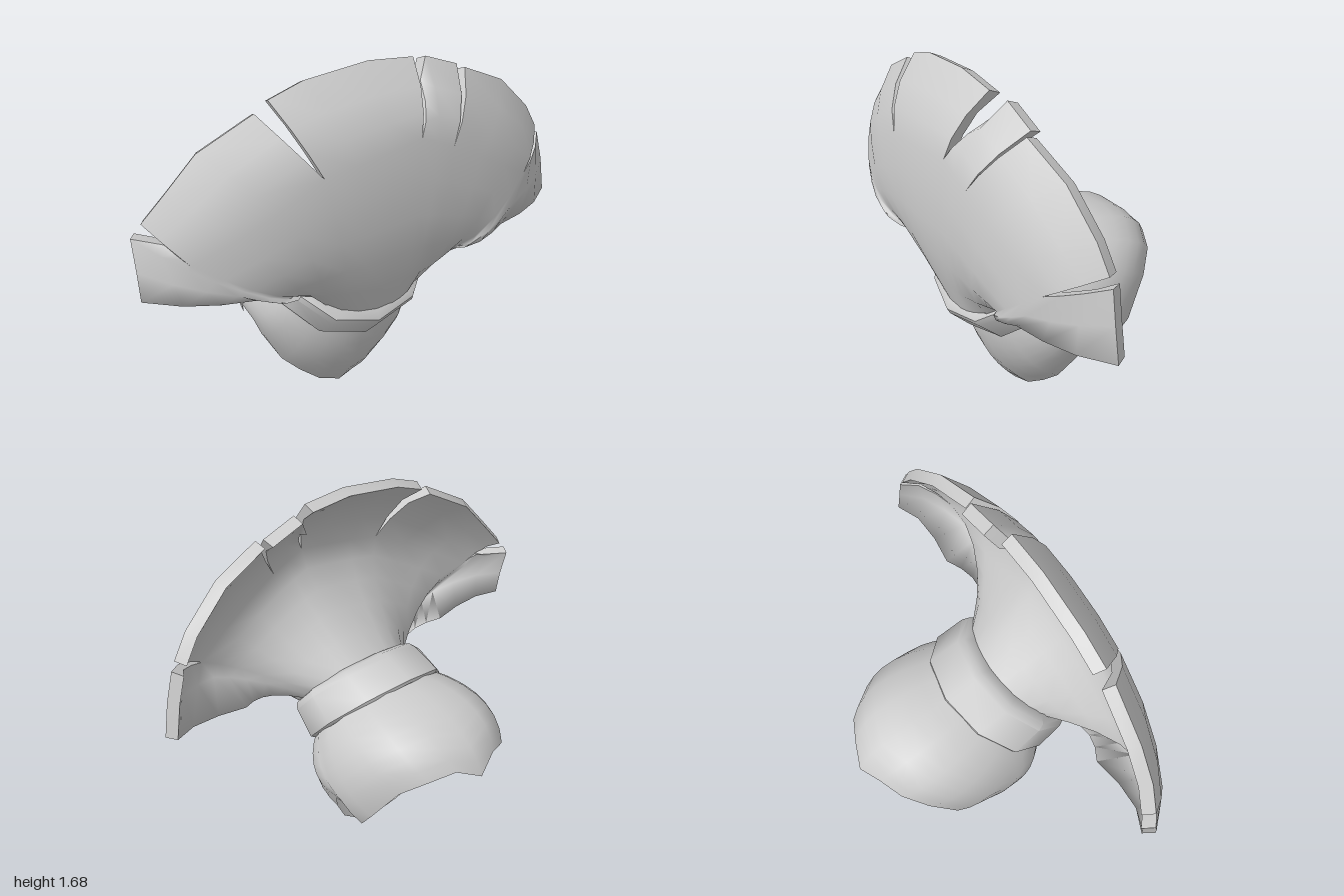
import * as THREE from 'three';
import { mergeVertices, toCreasedNormals } from 'three/addons/utils/BufferGeometryUtils.js';

const lerp = THREE.MathUtils.lerp;
const TILT = 0.806; // lean of the collar axis towards the front
const UP = [Math.cos(TILT), Math.sin(TILT)]; // axis direction in (y, z)

// Point on a tilted ring; angle 0 is the low front point, 180 degrees the high back point
function ringPoint(cy, cz, rx, r, angle) {
  const v = -r * Math.cos(angle);
  return new THREE.Vector3(rx * Math.sin(angle), cy + v * UP[1], cz - v * UP[0]);
}

// Collects quads and makes a smooth surface from them
function surface() {
  const p = [];
  const tri = (...v) => v.forEach((q) => p.push(q.x, q.y, q.z));
  return {
    quad(a, b, c, d) { tri(a, b, c); tri(a, c, d); },
    build() {
      const g = new THREE.BufferGeometry();
      g.setAttribute('position', new THREE.Float32BufferAttribute(p, 3));
      const m = mergeVertices(g, 1e-4);
      m.computeVertexNormals();
      return m;
    },
  };
}

// Front face depth of the fan: a shallow bowl curling back at the rim
function fanDepth(x, y) {
  const r = Math.hypot(x, Math.max(0, y - 0.85));
  const low = Math.max(0, 0.82 - y);
  return 0.572 - 0.03 * x - 0.09 * r ** 2 - 0.12 * r ** 4 - 0.04 * x ** 8 - 1.8 * low ** 2;
}

// Fan lobes: outer rim points from the model's left to its right
const LOBES = [
  { rim: [[0.995, 0.86], [0.965, 1.02], [0.93, 1.16]] },
  { rim: [[0.91, 1.2], [0.84, 1.31], [0.67, 1.47], [0.45, 1.57]] },
  { rim: [[0.43, 1.58], [0.27, 1.64], [0.22, 1.56]], bend: 0.03 },
  { rim: [[0.19, 1.66], [-0.02, 1.68], [-0.3, 1.65], [-0.45, 1.6]] },
  { rim: [[-0.51, 1.56], [-0.74, 1.44], [-0.87, 1.3], [-0.96, 1.19]] },
  { rim: [[-0.9, 1.12], [-1, 1.13], [-1, 1.0], [-1, 0.88]] },
];
// Inner ends of the slits, with the lower wing edges first and last
const SLITS = [[0.6, 0.835], [0.73, 1.07], [0.29, 1.32], [0.13, 1.39],
  [-0.31, 1.32], [-0.83, 1.05], [-0.6, 0.835]];
const INNER = 5, OUTER = 3, THICK = 0.05;

// One line of points from the neck ring out to the rim; wing marks the lower wing edge
function fanColumn(inner, rim, back, bend, wing) {
  const a = Math.atan2(Math.max(0, inner[1] - 0.835), inner[0]);
  const base = ringPoint(0.748, 0.295, 0.285, 0.235, back ? Math.PI / 2 + a : Math.PI / 2 - a);
  const out = [];
  for (let i = 0; i <= INNER + OUTER; i++) {
    const t = Math.min(1, i / INNER), s = Math.max(0, (i - INNER) / OUTER);
    const x = lerp(lerp(base.x, inner[0], t), rim[0], s);
    let y = lerp(lerp(base.y, inner[1], t), rim[1], s);
    const blend = 1 - (1 - t) ** (back ? 1.5 : 3.2);
    const k = back && i === INNER + OUTER ? 0.97 : 1;
    const curl = (bend + 0.12 * Math.max(0, y - 0.85)) * s * s;
    let z = fanDepth(x, y) - (back ? THICK : 0) - curl;
    // the lower wing edge rolls under towards the back
    const roll = wing ? t * (1 - s) : 0;
    if (back) z -= 0.16 * roll;
    else { y += 0.03 * roll; z -= 0.015 * roll; }
    out.push(new THREE.Vector3(x * k, 0.85 + (y - 0.85) * k, lerp(base.z, z, blend)));
  }
  return out;
}

function buildFan(material) {
  const faces = surface(), edges = surface();
  LOBES.forEach(({ rim, bend = 0 }, n) => {
    const A = SLITS[n], B = SLITS[n + 1], last = rim.length - 1;
    const firstWing = n === 0, lastWing = n === LOBES.length - 1;
    const cols = rim.map((p, i) => {
      const inner = [lerp(A[0], B[0], i / last), lerp(A[1], B[1], i / last)];
      const wing = (firstWing && i === 0) || (lastWing && i === last);
      return [fanColumn(inner, p, false, bend, wing), fanColumn(inner, p, true, bend, wing)];
    });
    const top = INNER + OUTER;
    for (let c = 0; c < last; c++) {
      const [f0, b0] = cols[c], [f1, b1] = cols[c + 1];
      for (let r = 0; r < top; r++) {
        faces.quad(f0[r], f0[r + 1], f1[r + 1], f1[r]);
        faces.quad(b1[r], b1[r + 1], b0[r + 1], b0[r]);
      }
      edges.quad(f0[top], b0[top], b1[top], f1[top]);
    }
    // slit walls, and the smooth underside of each wing
    const [fs, bs] = cols[0], [fe, be] = cols[last];
    const start = firstWing ? faces : edges, end = lastWing ? faces : edges;
    for (let r = firstWing ? 0 : INNER; r < top; r++) start.quad(fs[r], bs[r], bs[r + 1], fs[r + 1]);
    for (let r = lastWing ? 0 : INNER; r < top; r++) end.quad(fe[r + 1], be[r + 1], be[r], fe[r]);
  });
  const g = new THREE.Group();
  g.name = 'fanCrest';
  [['fanFaces', faces.build()], ['fanEdges', toCreasedNormals(edges.build(), 0.7)]].forEach(([name, geo]) => {
    const m = new THREE.Mesh(geo, material);
    m.name = name;
    g.add(m);
  });
  return g;
}

// Ragged lower edge of the cap, front to back: ring angle in degrees, x, y, z
const HEM = [
  [0, 0, 0, 0.14], [12, 0.1, 0.03, 0.125], [25, 0.19, 0.095, 0.095], [40, 0.27, 0.17, 0.065],
  [55, 0.345, 0.305, 0.015], [68, 0.375, 0.39, -0.02], [82, 0.375, 0.4, -0.13],
  [90, 0.35, 0.32, -0.17], [100, 0.365, 0.43, -0.26], [120, 0.31, 0.6, -0.38],
  [140, 0.22, 0.67, -0.47], [160, 0.11, 0.7, -0.52], [180, 0, 0.65, -0.565],
];

function buildCap(material) {
  const s = surface(), ROWS = 7;
  const column = ([deg, x, y, z], side) => {
    const a = THREE.MathUtils.degToRad(deg);
    const start = ringPoint(0.68, 0.15, 0.315, 0.29, a);
    const radial = ringPoint(0, 0, 1, 1, a);
    const end = new THREE.Vector3(x, y, z);
    const f = deg / 180;
    const ctrl = start.clone().lerp(end, 0.4 + 0.2 * f).addScaledVector(radial, 0.09 + 0.09 * f);
    return new THREE.QuadraticBezierCurve3(start, ctrl, end).getPoints(ROWS)
      .map((p) => p.setX(p.x * side));
  };
  for (const side of [1, -1]) {
    const cols = HEM.map((h) => column(h, side));
    for (let c = 0; c < cols.length - 1; c++) {
      const [l, r] = side > 0 ? [cols[c], cols[c + 1]] : [cols[c + 1], cols[c]];
      for (let i = 0; i < ROWS; i++) s.quad(l[i], l[i + 1], r[i + 1], r[i]);
    }
  }
  const m = new THREE.Mesh(s.build(), material);
  m.name = 'cap';
  m.position.x = -0.015;
  return m;
}

function buildBand(material) {
  // closed collar with bevelled rims, its front rim slipping down towards the chin
  const profile = [[0, 0], [0.325, 0], [0.338, 0.012], [0.302, 0.155], [0.285, 0.185], [0.245, 0.203], [0.2, 0.2]]
    .map(([x, y]) => new THREE.Vector2(x, y));
  const geo = new THREE.LatheGeometry(profile, 10);
  const p = geo.attributes.position;
  for (let i = 0; i < p.count; i++) {
    const y = p.getY(i);
    p.setX(i, p.getX(i) * (1.04 + 0.6 * y));
    p.setZ(i, p.getZ(i) + 0.2 * y);
  }
  const m = new THREE.Mesh(toCreasedNormals(geo, 0.75), material);
  m.name = 'collarBand';
  m.rotation.x = TILT;
  m.position.set(-0.015, 0.66, 0.13);
  return m;
}

export function createModel() {
  const grey = new THREE.MeshStandardMaterial({ color: 0xcccccc, side: THREE.DoubleSide });
  grey.name = 'plainGrey';
  const model = new THREE.Group();
  model.name = 'crestedCap';
  model.add(buildFan(grey), buildBand(grey), buildCap(grey));
  return model;
}
